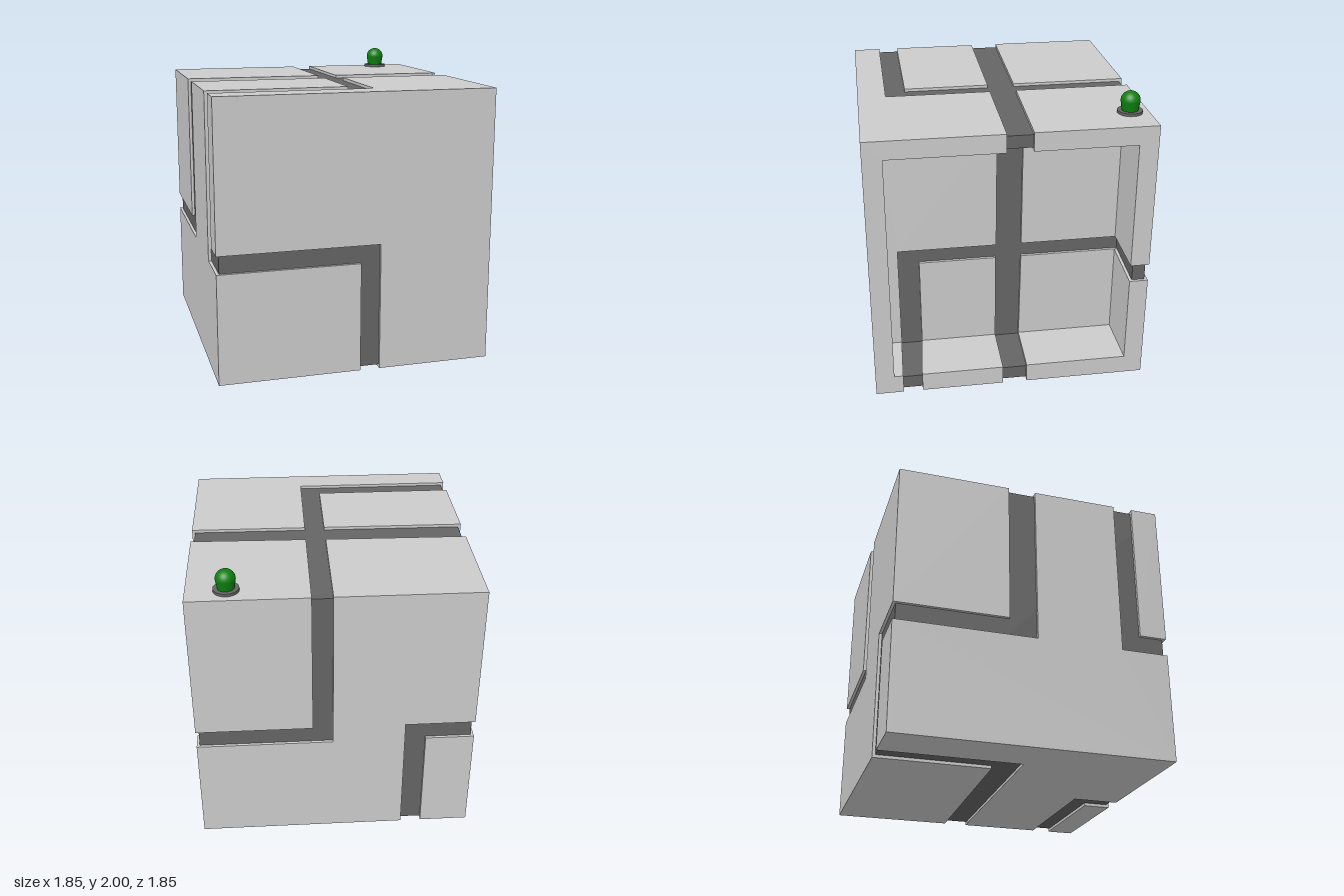
import * as THREE from 'three';

const S = 0.927, H = 1.855;      // half width and height of the cube
const D = 0.907, C = 0.82, I = 0.8; // core outside, core inside, inner panel face
const B = 0.53, G = 0.51;        // face of the recessed panel, bottom of its grooves

const panelMat = new THREE.MeshStandardMaterial({ color: 0xbcbcbc });
const coreMat = new THREE.MeshStandardMaterial({ color: 0x656565 });
const bulbMat = new THREE.MeshStandardMaterial({ color: 0x0d800d });

// Prism along an axis; outline points are [y,z] for X, [z,x] for Y, [x,y] for Z
const axes = {
  X: [[0, 1, 0], [0, 0, 1], [1, 0, 0]],
  Y: [[0, 0, 1], [1, 0, 0], [0, 1, 0]],
  Z: [[1, 0, 0], [0, 1, 0], [0, 0, 1]],
};
function prism(axis, pts, lo, hi) {
  const shape = new THREE.Shape(pts.map(p => new THREE.Vector2(p[0], p[1])));
  const geo = new THREE.ExtrudeGeometry(shape, { depth: hi - lo, bevelEnabled: false });
  geo.translate(0, 0, lo);
  const basis = axes[axis].map(a => new THREE.Vector3(...a));
  return geo.applyMatrix4(new THREE.Matrix4().makeBasis(...basis));
}
const rect = (a0, a1, b0, b1) => [[a0, b0], [a1, b0], [a1, b1], [a0, b1]];

export function createModel() {
  const model = new THREE.Group();

  function layer(name, axis, lo, hi, outlines, mat = panelMat) {
    const group = new THREE.Group();
    group.name = name;
    outlines.forEach((pts, i) => {
      const mesh = new THREE.Mesh(prism(axis, pts, lo, hi), mat);
      mesh.name = name + (i + 1);
      group.add(mesh);
    });
    model.add(group);
  }

  // Dark core, seen at the bottom of the grooves: a block with four walls round the recess
  layer('coreBlock', 'X', -D, G, [rect(0.02, H - 0.02, -D, D)], coreMat);
  layer('coreWall', 'X', G, D, [
    rect(0.02, H - 0.02, C, D),
    rect(0.02, H - 0.02, -D, -C),
    rect(1.75, H - 0.02, -C, C),
    rect(0.02, 0.11, -C, C),
  ], coreMat);

  // Outer panels
  layer('frontPanel', 'Z', D, S, [
    rect(-S, 0.022, 0, 0.74),
    [[-S, 0.86], [0.155, 0.86], [0.155, 0], [S, 0], [S, H], [-S, H]],
  ]);
  layer('backPanel', 'Z', -S, -D, [
    rect(0.155, S, 0.86, H),
    rect(-S, -0.6, 0, 0.74),
    [[-S, 0.86], [-0.46, 0.86], [-0.46, 0], [S, 0], [S, 0.74], [0.022, 0.74], [0.022, H], [-S, H]],
  ]);
  layer('topPanel', 'Y', H - 0.02, H, [
    [[-S, -S], [-0.168, -S], [-0.152, 0.022], [-S, 0.022]],
    [[-S, 0.155], [-0.147, 0.155], [-0.13, S], [-S, S]],
    [[0.02, -S], [0.605, -S], [0.605, 0.022], [0.03, 0.022]],
    [[0.74, -S], [S, -S], [S, S], [0.04, S], [0.033, 0.155], [0.74, 0.155]],
  ]);
  layer('bottomPanel', 'Y', 0, 0.02, [
    [[-S, -0.46], [-0.15, -0.46], [-0.11, S], [-S, S]],
    rect(0.74, S, 0.155, S),
    [[-S, -S], [S, -S], [S, 0.022], [0.61, 0.022], [0.61, S], [0.055, S], [0.02, -0.6], [-S, -0.6]],
  ]);
  layer('sidePanel', 'X', -S, -D, [
    rect(0.86, H, -S, -0.168),
    rect(0.86, H, 0.74, S),
    [[0, -S], [0, S], [0.74, S], [0.74, 0.605], [H, 0.605], [H, 0.02], [0.74, 0.02], [0.74, -S]],
  ]);

  // Rim around the open side
  layer('rim', 'X', D, S, [
    [[H, 0.04], [H, S], [0, S], [0, 0.74], [0.13, 0.74], [0.13, I], [1.73, I], [1.73, 0.04]],
    rect(0, 0.13, 0.055, 0.61),
    [[0, -0.11], [0.13, -0.11], [0.13, -I], [0.74, -I], [0.74, -S], [0, -S]],
    [[H, -0.13], [1.73, -0.13], [1.73, -I], [0.86, -I], [0.86, -S], [H, -S]],
  ]);

  // Panels lining the recess
  layer('recessCeiling', 'Y', 1.73, 1.75, [rect(-C, -0.13, G, D), rect(0.04, C, G, D)]);
  layer('recessFloor', 'Y', 0.11, 0.13, [
    [[-C, G], [-0.12, G], [-0.11, D], [-C, D]],
    [[0.05, G], [0.58, G], [0.61, D], [0.055, D]],
    [[0.725, G], [C, G], [C, D], [0.74, D]],
  ]);
  layer('recessFront', 'Z', I, C, [rect(G, D, 0.11, 1.75)]);
  layer('recessRear', 'Z', -C, -I, [
    [[G, 0.11], [D, 0.11], [D, 0.74], [G, 0.77]],
    [[G, 0.87], [D, 0.86], [D, 1.75], [G, 1.75]],
  ]);
  layer('recessBottom', 'X', G, B, [
    [[0.87, -C], [1.75, -C], [1.75, -0.135], [0.87, -0.13]],
    [[0.87, 0.045], [1.75, 0.04], [1.75, C], [0.11, C], [0.11, 0.725], [0.87, 0.725]],
    rect(0.11, 0.77, 0.05, 0.58),
    [[0.11, -C], [0.77, -C], [0.77, -0.13], [0.11, -0.12]],
  ]);

  // Indicator lamp on the top
  const lamp = new THREE.Group();
  lamp.name = 'lamp';
  lamp.position.set(0.672, H, -0.8);
  const base = new THREE.Mesh(new THREE.CylinderGeometry(0.082, 0.082, 0.018, 32), coreMat);
  base.name = 'lampBase';
  base.position.y = 0.009;
  const profile = [new THREE.Vector2(0.053, 0.015)];
  for (let i = 0; i <= 12; i++) {
    const a = (i / 12) * Math.PI / 2;
    profile.push(new THREE.Vector2(0.064 * Math.cos(a), 0.081 + 0.064 * Math.sin(a)));
  }
  const bulb = new THREE.Mesh(new THREE.LatheGeometry(profile, 32), bulbMat);
  bulb.name = 'lampBulb';
  lamp.add(base, bulb);
  model.add(lamp);

  return model;
}
